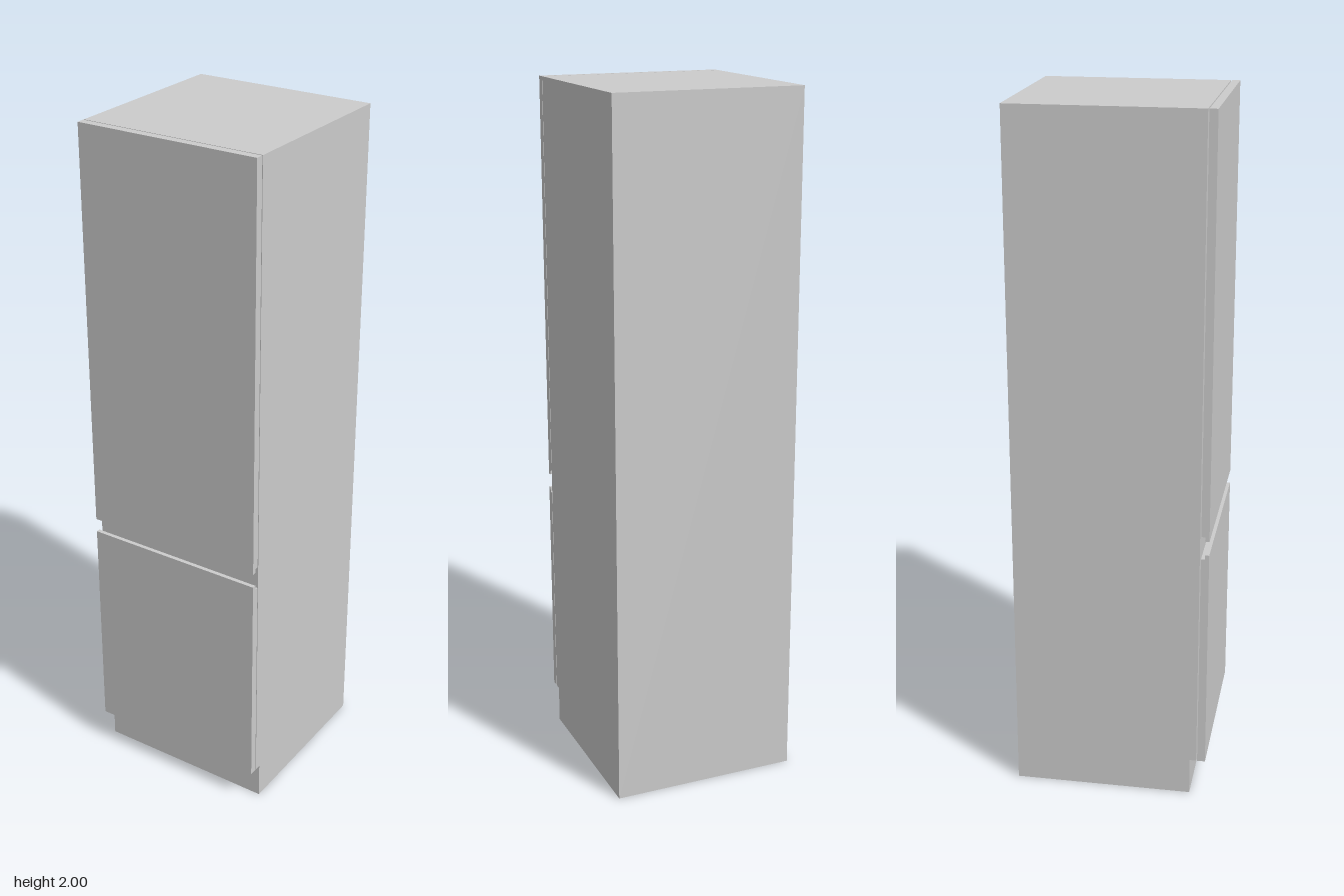
import * as THREE from 'three';

const WIDTH = 0.544;
const grey = new THREE.MeshStandardMaterial({ color: 0xcccccc });
const greyThin = new THREE.MeshStandardMaterial({ color: 0xcccccc, side: THREE.DoubleSide });

// Side profiles are lists of [z, y] points, running anticlockwise
const toShape = (points) => new THREE.Shape(points.map(([z, y]) => new THREE.Vector2(z, y)));

// Turn a geometry drawn in x = z, y = y so that it lies across the cabinet
const turn = (geometry) => geometry.rotateY(-Math.PI / 2);

function addMesh(group, name, geometry, material) {
  const mesh = new THREE.Mesh(geometry, material);
  mesh.name = name;
  group.add(mesh);
}

// Flat strips across the width, one for each step of an open profile
function ribbon(points) {
  const positions = [];
  const indices = [];
  const h = WIDTH / 2;
  for (let i = 0; i < points.length - 1; i++) {
    const [z0, y0] = points[i];
    const [z1, y1] = points[i + 1];
    const n = i * 4;
    positions.push(-h, y0, z0, h, y0, z0, h, y1, z1, -h, y1, z1);
    indices.push(n, n + 1, n + 2, n, n + 2, n + 3);
  }
  const geometry = new THREE.BufferGeometry();
  geometry.setAttribute('position', new THREE.Float32BufferAttribute(positions, 3));
  geometry.setIndex(indices);
  geometry.computeVertexNormals();
  return geometry;
}

// Solid door panel with a constant profile across the width
function doorPanel(points) {
  const geometry = new THREE.ExtrudeGeometry(toShape(points), { depth: WIDTH, bevelEnabled: false });
  return turn(geometry.translate(0, 0, -WIDTH / 2));
}

export function createModel() {
  const model = new THREE.Group();
  model.name = 'tallCabinet';

  // Hollow carcass, open underneath, with a recessed plinth
  const profile = [[0.236, 0], [0.236, 0.11], [0.255, 0.11], [0.255, 2], [-0.281, 2], [-0.281, 0]];
  const carcass = new THREE.Group();
  carcass.name = 'carcass';
  addMesh(carcass, 'shell', ribbon(profile), greyThin);
  for (const [name, side] of [['leftSide', 1], ['rightSide', -1]]) {
    const geometry = turn(new THREE.ShapeGeometry(toShape(profile)));
    addMesh(carcass, name, geometry.translate(side * WIDTH / 2, 0, 0), greyThin);
  }
  model.add(carcass);

  // Doors, each with a thin grip lip facing the gap between them
  const back = 0.258, lip = 0.269, front = 0.281;
  addMesh(model, 'upperDoor', doorPanel([
    [back, 0.828], [lip, 0.828], [lip, 0.815], [front, 0.815], [front, 2], [back, 2],
  ]), grey);
  addMesh(model, 'lowerDoor', doorPanel([
    [back, 0.11], [front, 0.11], [front, 0.773], [lip, 0.773], [lip, 0.76], [back, 0.76],
  ]), grey);

  return model;
}
